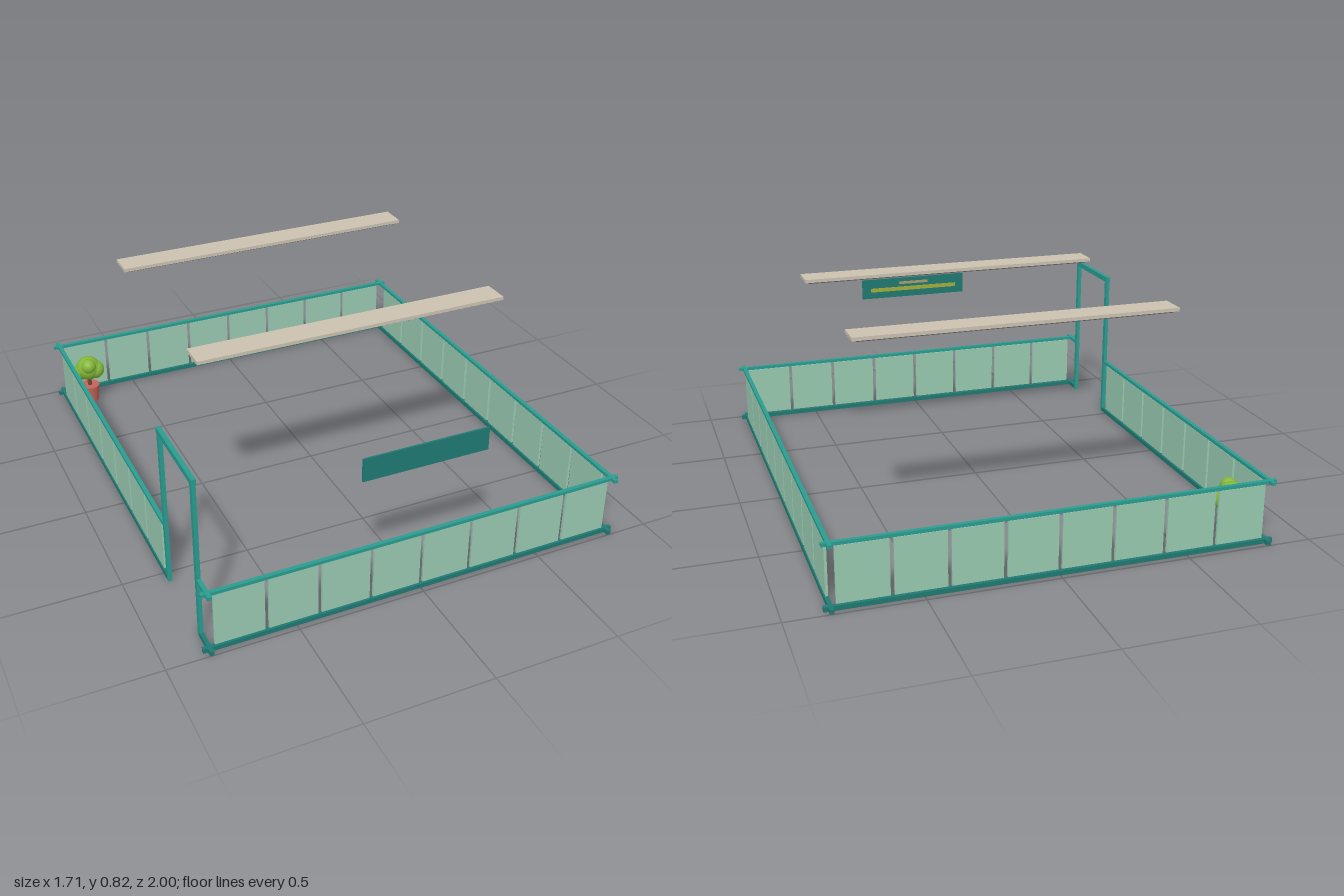
import * as THREE from 'three';

const mat = (name, color) => {
  const m = new THREE.MeshStandardMaterial({ color });
  m.name = name;
  return m;
};

export function createModel() {
  const teal = mat('teal', 0x2a9d90);
  const darkTeal = mat('dark teal', 0x1f7a72);
  const glass = mat('pale green', 0x98c9b0);
  const beige = mat('beige', 0xcbc1b0);
  const grey = mat('dark grey', 0x5a5a5a);
  const olive = mat('olive yellow', 0xa3ae3c);
  const tan = mat('tan', 0xb39a6a);
  const leaf = mat('leaf green', 0x86b83a);
  const clay = mat('clay red', 0xc4645a);
  const bark = mat('brown', 0x6b4a2f);

  const model = new THREE.Group();
  model.name = 'fencedTerrace';

  const add = (parent, name, geo, material, x, y, z) => {
    const mesh = new THREE.Mesh(geo, material);
    mesh.name = name;
    mesh.position.set(x, y, z);
    parent.add(mesh);
    return mesh;
  };
  const box = (parent, name, material, w, h, d, x, y, z) =>
    add(parent, name, new THREE.BoxGeometry(w, h, d), material, x, y, z);
  const group = (name) => {
    const g = new THREE.Group();
    g.name = name;
    model.add(g);
    return g;
  };

  const X = 0.83, Z = 0.97, PITCH = 0.2045, PANEL = 0.19, H = 0.216, PY = 0.132;

  // Front and back walls: rails and eight panels each
  for (const s of [1, -1]) {
    const wall = group(s > 0 ? 'frontWall' : 'backWall');
    box(wall, 'topRail', teal, 1.71, 0.013, 0.016, 0, 0.249, s * Z);
    box(wall, 'bottomRail', darkTeal, 1.71, 0.018, 0.016, 0, 0.009, s * Z);
    for (let i = 0; i < 8; i++)
      box(wall, 'panel', glass, PANEL, H, 0.01, (i - 3.5) * PITCH, PY, s * Z);
  }

  // Side walls: nine panels on the left, seven on the right beside the doorway
  for (const s of [1, -1]) {
    const wall = group(s > 0 ? 'leftWall' : 'rightWall');
    const spans = s > 0 ? [[-1, 1]] : [[-1, 0.54], [0.89, 1]];
    for (const [a, b] of spans) {
      box(wall, 'topRail', teal, 0.016, 0.013, b - a, s * X, 0.25, (a + b) / 2);
      box(wall, 'bottomRail', darkTeal, 0.016, 0.018, b - a, s * X, 0.0095, (a + b) / 2);
    }
    for (let i = 0; i < (s > 0 ? 9 : 7); i++)
      box(wall, 'panel', glass, 0.01, H, PANEL, s * X, PY, (i - 4) * PITCH);
  }

  // Doorway frame
  const door = group('doorway');
  for (const z of [0.545, 0.884])
    box(door, 'doorPost', teal, 0.015, 0.645, 0.021, -X, 0.3225, z);
  box(door, 'doorHeader', teal, 0.017, 0.023, 0.364, -X, 0.655, 0.7145);

  // Overhead beams with a recessed strip below
  for (const z of [0.367, -0.5]) {
    const beam = group('overheadBeam');
    box(beam, 'beam', beige, 1.276, 0.014, 0.11, 0, 0.815, z);
    box(beam, 'beamUnderside', grey, 1.24, 0.007, 0.09, 0, 0.8055, z);
  }

  // Hanging sign, with plain bars on its inner side
  const sign = group('sign');
  box(sign, 'signBoard', darkTeal, 0.5, 0.092, 0.008, 0, 0.586, Z);
  box(sign, 'signStripe', olive, 0.42, 0.018, 0.004, 0, 0.58, Z - 0.005);
  box(sign, 'signBar', tan, 0.14, 0.012, 0.004, 0, 0.608, Z - 0.005);

  // Potted bush
  const plant = group('pottedBush');
  plant.position.set(-0.73, 0, -0.87);
  add(plant, 'pot', new THREE.CylinderGeometry(0.044, 0.034, 0.08, 16), clay, 0, 0.04, 0);
  add(plant, 'stem', new THREE.CylinderGeometry(0.008, 0.01, 0.07, 8), bark, 0, 0.11, 0);
  for (const [x, y, z, r] of [
    [0, 0.165, -0.002, 0.055], [-0.026, 0.15, -0.012, 0.04],
    [0.03, 0.155, 0.005, 0.042], [-0.005, 0.19, 0.03, 0.034]])
    add(plant, 'foliage', new THREE.SphereGeometry(r, 14, 10), leaf, x, y, z);

  return model;
}
